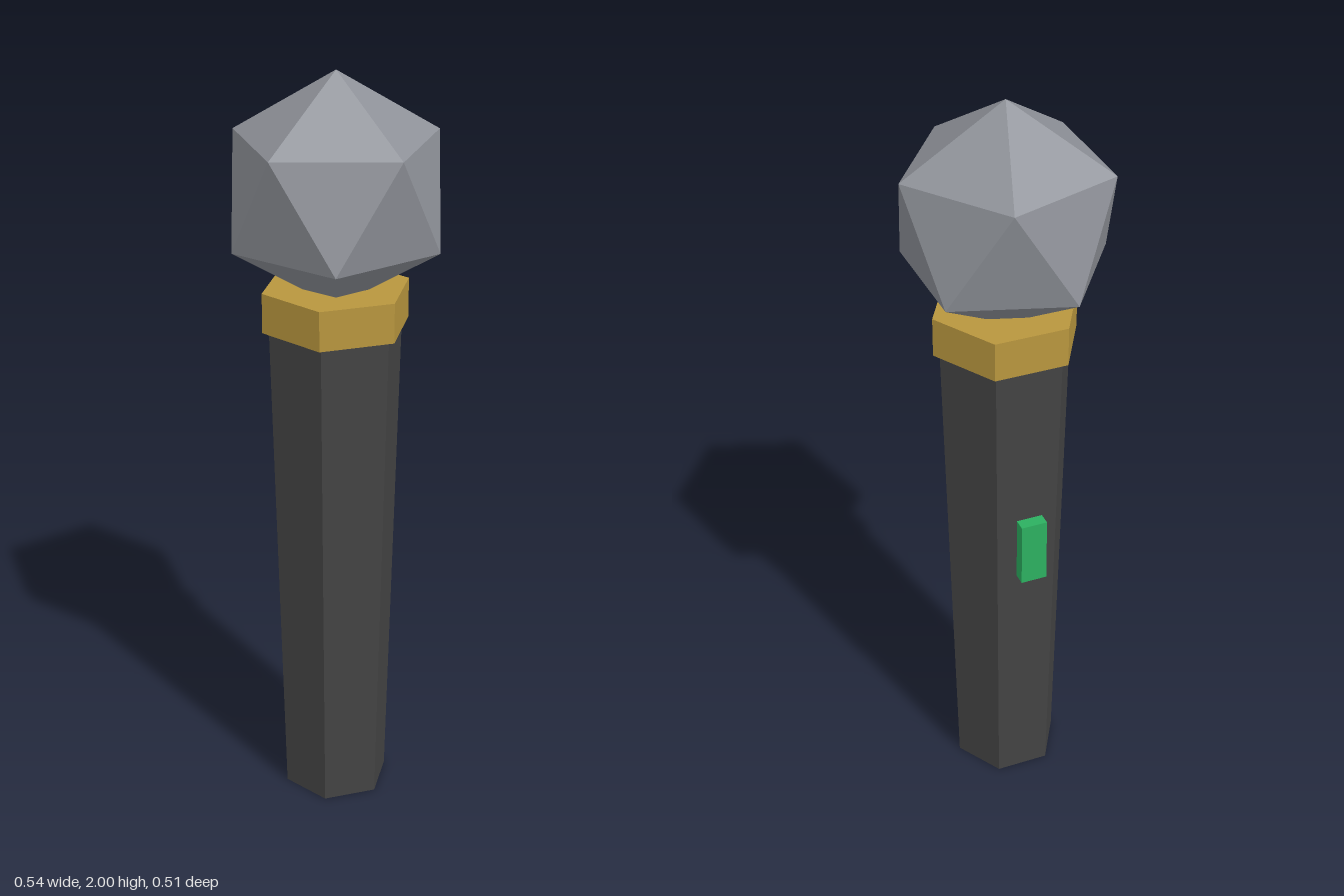
import * as THREE from 'three';

const paint = (name, color) => {
  const m = new THREE.MeshStandardMaterial({ color, flatShading: true });
  m.name = name;
  return m;
};

export function createModel() {
  const model = new THREE.Group();
  model.name = 'microphone';

  const charcoal = paint('charcoal', 0x444444);
  const gold = paint('gold', 0xb8963e);
  const steel = paint('steel grey', 0x8f9299);
  const green = paint('green', 0x2cb060);

  const add = (name, geometry, material, x, y, z) => {
    const mesh = new THREE.Mesh(geometry, material);
    mesh.name = name;
    mesh.position.set(x, y, z);
    model.add(mesh);
    return mesh;
  };

  // Hexagonal prism standing between two heights, corners on the x axis
  const hexPrism = (name, rTop, rBottom, y0, y1, material) => {
    const g = new THREE.CylinderGeometry(rTop, rBottom, y1 - y0, 6);
    g.rotateY(Math.PI / 6);
    return add(name, g, material, 0, (y0 + y1) / 2, 0);
  };

  // Tapered grip and the collar around its top
  hexPrism('handle', 0.178, 0.143, 0, 1.36, charcoal);
  hexPrism('collar', 0.195, 0.195, 1.345, 1.45, gold);

  // Faceted head: icosahedron with one corner up and an upper-ring corner at +x
  const head = new THREE.IcosahedronGeometry(0.302, 0);
  head.rotateX(-Math.atan((1 + Math.sqrt(5)) / 2));
  head.rotateY(Math.PI / 2);
  add('head', head, steel, 0, 1.698, 0);

  // Switch on the back of the grip
  add('switchButton', new THREE.BoxGeometry(0.07, 0.178, 0.034), green, 0, 0.808, -0.178);

  return model;
}
